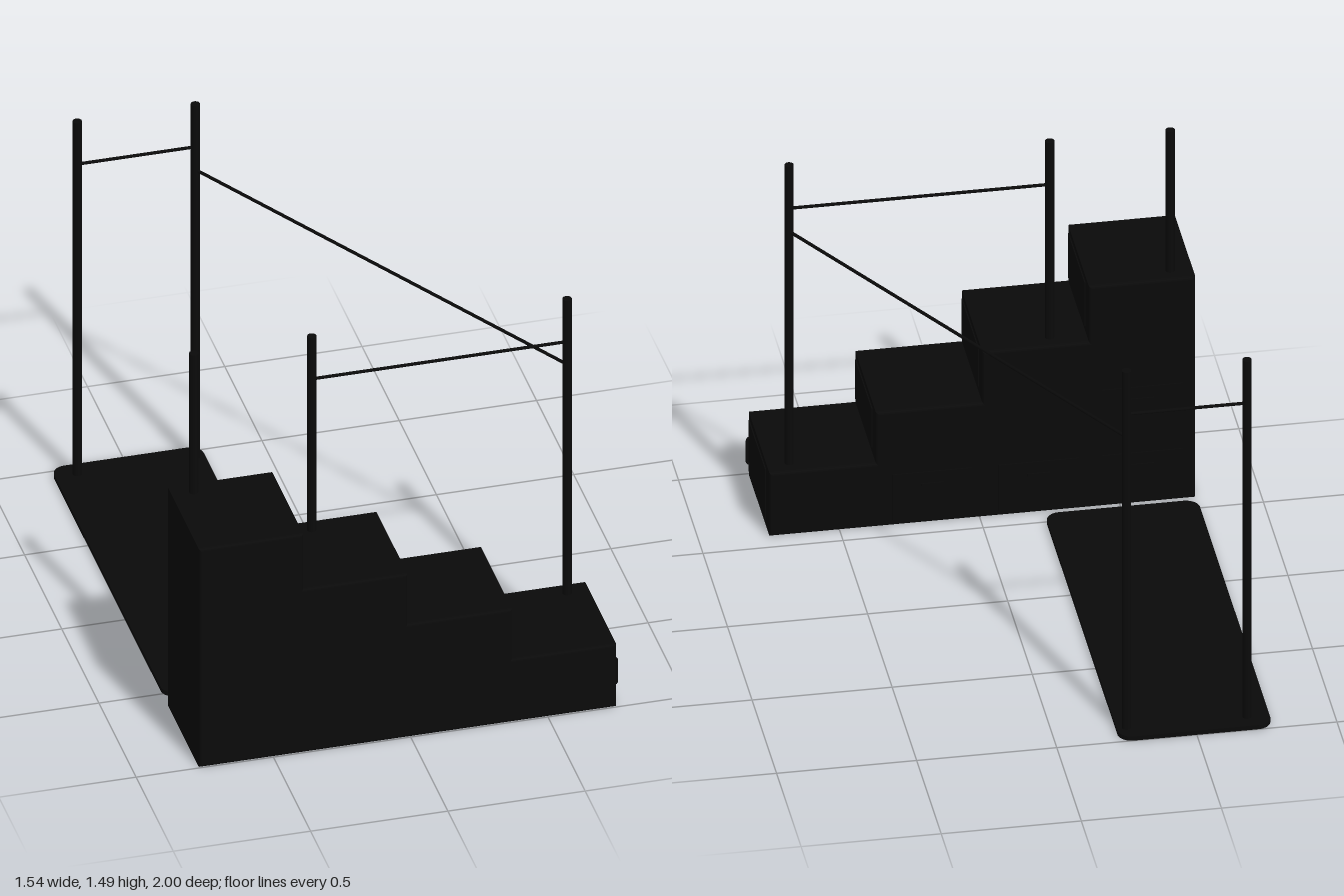
import * as THREE from 'three';

export function createModel() {
  const model = new THREE.Group();
  const material = new THREE.MeshStandardMaterial({ color: 0x0a0a0a });

  const add = (name, geometry, x = 0, y = 0, z = 0) => {
    const mesh = new THREE.Mesh(geometry, material);
    mesh.name = name;
    mesh.position.set(x, y, z);
    model.add(mesh);
    return mesh;
  };

  // Stepped cabinet: side profile extruded in depth, with softened front and back edges
  const left = -0.77, back = 0.57, front = 1.0, bevel = 0.01;
  const steps = [
    { end: -0.39, top: 0.91 },
    { end: -0.01, top: 0.68 },
    { end: 0.37, top: 0.47 },
    { end: 0.75, top: 0.26 },
  ];
  const profile = new THREE.Shape();
  profile.moveTo(left, 0);
  profile.lineTo(steps[3].end, 0);
  for (let i = 3; i >= 0; i--) {
    profile.lineTo(steps[i].end, steps[i].top);
    profile.lineTo(i ? steps[i - 1].end : left, steps[i].top);
  }
  add('stepCabinet', new THREE.ExtrudeGeometry(profile, {
    depth: front - back - 2 * bevel, bevelEnabled: true,
    bevelSize: bevel, bevelThickness: bevel, bevelOffset: -bevel, bevelSegments: 3,
  }), 0, 0, back + bevel);

  // Panel on every riser
  steps.forEach(({ end, top }, i) => {
    const bottom = i < 3 ? steps[i + 1].top : 0;
    add('riserPanel', new THREE.BoxGeometry(0.008, top - bottom - 0.05, 0.335),
      end, (top + bottom) / 2, 0.81);
  });

  // Pull handle on the lowest riser
  const pull = new THREE.CurvePath();
  const pts = [[0.745, 0.07], [0.758, 0.07], [0.763, 0.077], [0.763, 0.168], [0.758, 0.175], [0.745, 0.175]]
    .map(([x, y]) => new THREE.Vector3(x, y, 0.955));
  for (let i = 1; i < pts.length; i++) pull.add(new THREE.LineCurve3(pts[i - 1], pts[i]));
  add('doorHandle', new THREE.TubeGeometry(pull, 40, 0.005, 8));

  // Drawers with small grips in the back of the cabinet
  for (const [x, y] of [[0.17, 0.115], [-0.21, 0.115], [-0.58, 0.115], [-0.58, 0.385]]) {
    add('drawerFront', new THREE.BoxGeometry(0.285, 0.19, 0.008), x, y, back);
    add('drawerGrip', new THREE.BoxGeometry(0.08, 0.01, 0.008), x, y + 0.045, back - 0.004);
  }

  // Thin floor mat with rounded corners
  const x0 = -0.77, x1 = -0.225, z0 = -1, z1 = 0.53, r = 0.05;
  const outline = new THREE.Shape();
  outline.moveTo(x0 + r, z0);
  outline.absarc(x1 - r, z0 + r, r, -Math.PI / 2, 0);
  outline.absarc(x1 - r, z1 - r, r, 0, Math.PI / 2);
  outline.absarc(x0 + r, z1 - r, r, Math.PI / 2, Math.PI);
  outline.absarc(x0 + r, z0 + r, r, Math.PI, Math.PI * 1.5);
  const mat = add('floorMat', new THREE.ExtrudeGeometry(outline, {
    depth: 0.017, bevelEnabled: false, curveSegments: 10,
  }), 0, 0.017, 0);
  mat.rotation.x = Math.PI / 2;

  // Upright posts
  const postTop = 1.49, zFront = 0.63, zBack = -0.936;
  const posts = [
    [-0.69, 0.91, zFront], [-0.26, 0.68, zFront], [0.67, 0.26, zFront],
    [-0.69, 0.015, zBack], [-0.26, 0.015, zBack],
  ];
  for (const [x, y, z] of posts) {
    add('post', new THREE.CylinderGeometry(0.0165, 0.0165, postTop - y, 20), x, (postTop + y) / 2, z);
  }

  // Thin rails strung between the posts
  const addRail = (a, b) => {
    const from = new THREE.Vector3(...a), to = new THREE.Vector3(...b);
    const span = to.clone().sub(from);
    const rail = add('rail', new THREE.CylinderGeometry(0.006, 0.006, span.length(), 10));
    rail.position.copy(from).addScaledVector(span, 0.5);
    rail.quaternion.setFromUnitVectors(new THREE.Vector3(0, 1, 0), span.normalize());
  };
  addRail([-0.26, 1.31, zFront], [0.67, 1.31, zFront]);
  addRail([-0.69, 1.31, zBack], [-0.26, 1.31, zBack]);
  addRail([-0.26, 1.215, zBack], [0.67, 1.215, zFront]);

  return model;
}
